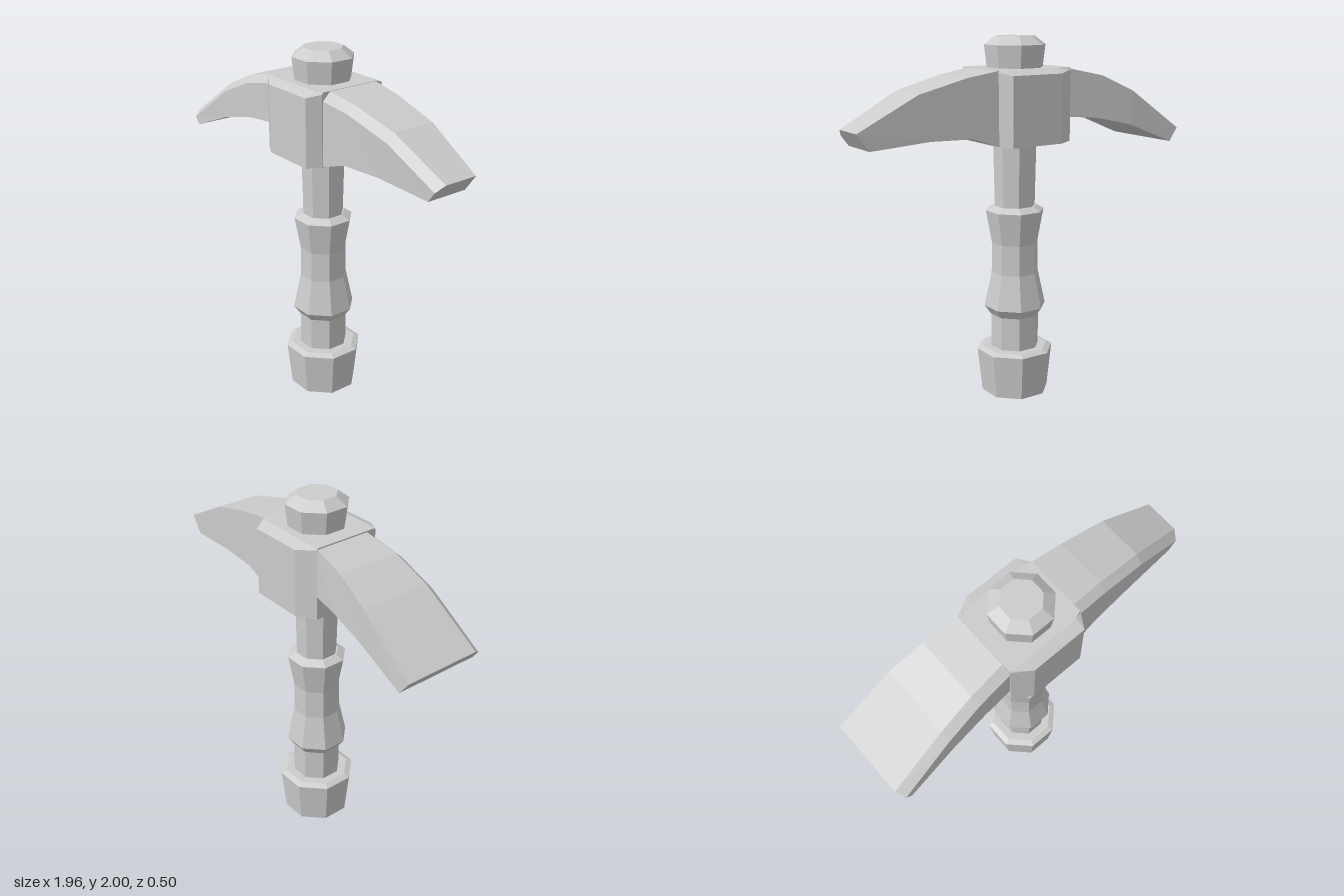
import * as THREE from 'three';

const material = new THREE.MeshStandardMaterial({ color: 0xcccccc, flatShading: true, side: THREE.DoubleSide });

// Eight-sided turned part; profile is [distance to flat, height] from bottom to top
function turned(name, profile) {
  const points = profile.map(([r, y]) => new THREE.Vector2(r / Math.cos(Math.PI / 8), y));
  const mesh = new THREE.Mesh(new THREE.LatheGeometry(points, 8, Math.PI / 8), material);
  mesh.name = name;
  mesh.position.x = -0.018;
  return mesh;
}

// Solid through a row of rings, each with the same number of corners, capped at both ends
function loft(name, rings) {
  const positions = [];
  const n = rings[0].length;
  const a = new THREE.Vector3(), b = new THREE.Vector3();
  const tri = (p, q, r) => {
    a.subVectors(q, p);
    b.subVectors(r, p);
    if (a.cross(b).length() < 1e-7) return;
    for (const v of [p, q, r]) positions.push(v.x, v.y, v.z);
  };
  for (let i = 0; i < rings.length - 1; i++) {
    for (let k = 0; k < n; k++) {
      const k2 = (k + 1) % n;
      const [r0, r1] = [rings[i], rings[i + 1]];
      tri(r0[k], r0[k2], r1[k2]);
      tri(r0[k], r1[k2], r1[k]);
    }
  }
  const last = rings[rings.length - 1];
  for (let k = 1; k < n - 1; k++) {
    tri(last[0], last[k], last[k + 1]);
    tri(rings[0][0], rings[0][k + 1], rings[0][k]);
  }
  const geometry = new THREE.BufferGeometry();
  geometry.setAttribute('position', new THREE.Float32BufferAttribute(positions, 3));
  geometry.computeVertexNormals();
  const mesh = new THREE.Mesh(geometry, material);
  mesh.name = name;
  return mesh;
}

// Arm ring: bevelled along the front top edge only
function armRing([xTop, yTop, xEdge, yEdge, xBottom, yBottom, zBack, zTop, zFront]) {
  const v = (x, y, z) => new THREE.Vector3(x, y, z);
  return [
    v(xBottom, yBottom, zFront), v(xBottom, yBottom, zBack - 0.003),
    v(xTop, yTop, zBack), v(xTop, yTop, zTop), v(xEdge, yEdge, zFront),
  ];
}

// Block ring: both top edges bevelled
function blockRing([x, yEdge, zTop, zSide]) {
  const v = (y, z) => new THREE.Vector3(x, y, z);
  return [v(1.44, zSide), v(1.44, -zSide), v(yEdge, -zSide), v(1.835, -zTop), v(1.835, zTop), v(yEdge, zSide)];
}

export function createModel() {
  const model = new THREE.Group();

  // Handle
  model.add(turned('pommel', [[0, 0], [0.175, 0], [0.2, 0.25], [0.17, 0.265], [0, 0.265]]));
  model.add(turned('lowerShaft', [[0.125, 0.25], [0.125, 0.46]]));
  model.add(turned('grip', [
    [0.1, 0.455], [0.128, 0.455], [0.161, 0.505], [0.122, 0.7], [0.12, 0.87], [0.151, 1.055], [0.112, 1.08], [0, 1.08],
  ]));
  model.add(turned('upperShaft', [[0.104, 1.07], [0.112, 1.46]]));
  model.add(turned('topCap', [[0.14, 1.82], [0.155, 1.955], [0.1, 2], [0, 2]]));

  // Head
  const head = new THREE.Group();
  head.name = 'head';
  head.add(loft('headBlock', [
    [-0.25, 1.825, 0.183, 0.188],
    [-0.15, 1.81, 0.19, 0.248],
    [0.16, 1.81, 0.185, 0.248],
    [0.2, 1.825, 0.17, 0.175],
  ].map(blockRing)));
  head.add(loft('broadBlade', [
    [-0.98, 1.465, -0.955, 1.432, -0.925, 1.39, -0.253, 0.18, 0.23],
    [-0.65, 1.695, -0.65, 1.65, -0.64, 1.505, -0.235, 0.16, 0.21],
    [-0.45, 1.785, -0.44, 1.745, -0.42, 1.555, -0.21, 0.145, 0.195],
    [-0.22, 1.834, -0.22, 1.79, -0.245, 1.57, -0.183, 0.13, 0.183],
  ].map(armRing)));
  head.add(loft('narrowBlade', [
    [0.195, 1.834, 0.195, 1.79, 0.195, 1.441, -0.174, 0.125, 0.17],
    [0.38, 1.805, 0.38, 1.765, 0.355, 1.495, -0.164, 0.115, 0.16],
    [0.65, 1.735, 0.65, 1.69, 0.59, 1.5, -0.148, 0.1, 0.143],
    [0.975, 1.565, 0.95, 1.53, 0.91, 1.475, -0.122, 0.07, 0.115],
  ].map(armRing)));
  model.add(head);

  return model;
}
